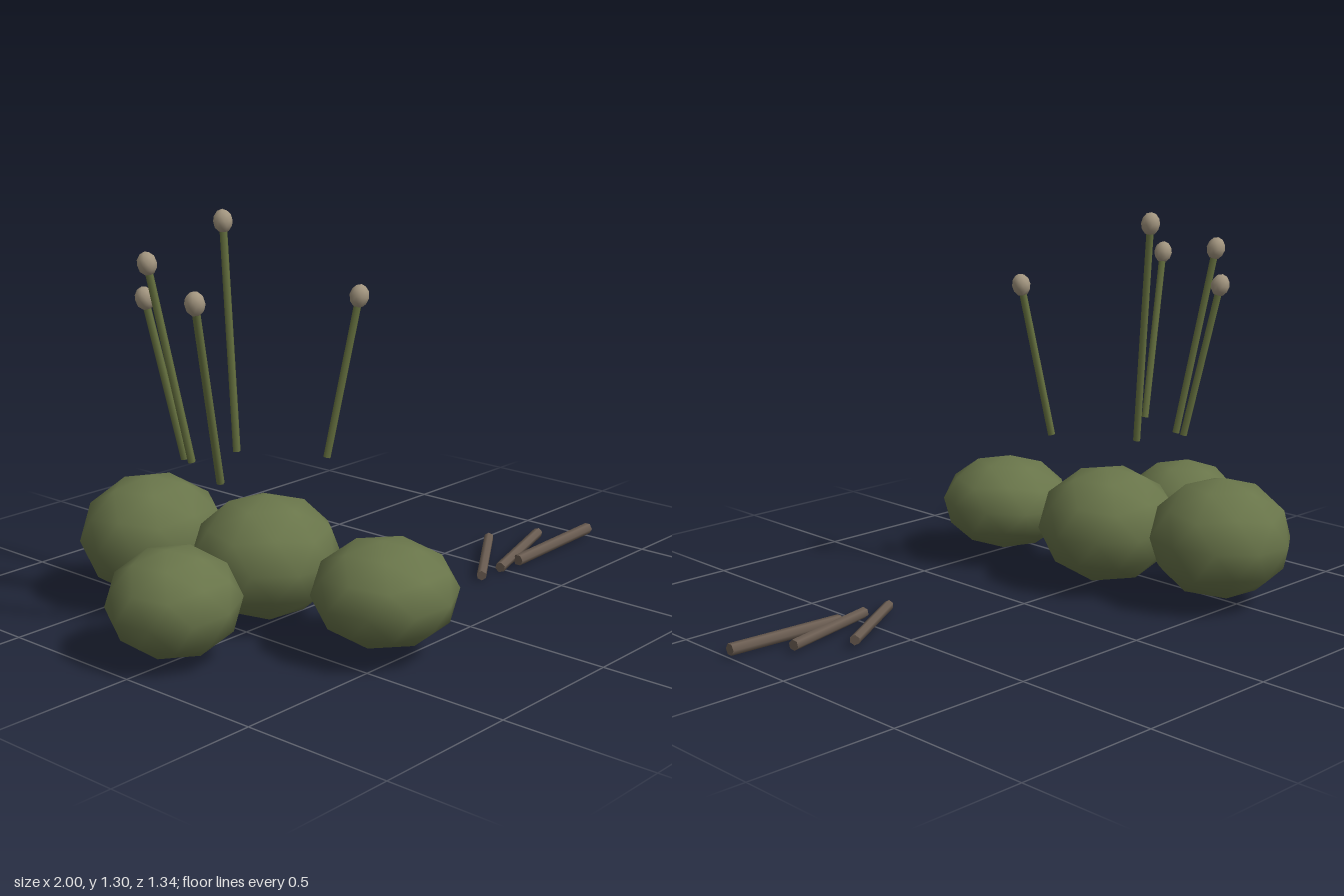
import * as THREE from 'three';

export function createModel() {
  const model = new THREE.Group();
  const mat = (name, color) => {
    const m = new THREE.MeshStandardMaterial({ color });
    m.name = name;
    return m;
  };
  const bushGreen = mat('bushGreen', 0x69754a);
  const stemGreen = mat('stemGreen', 0x65703f);
  const budTan = mat('budTan', 0xa39680);
  const twigBrown = mat('twigBrown', 0x6b5d52);

  const add = (name, geo, material, parent = model) => {
    const mesh = new THREE.Mesh(geo, material);
    mesh.name = name;
    parent.add(mesh);
    return mesh;
  };

  const UP = new THREE.Vector3(0, 1, 0);
  // Rod between two points; returns the mesh
  const rod = (name, a, b, rBottom, rTop, sides, material, parent) => {
    const p = new THREE.Vector3(...a), q = new THREE.Vector3(...b);
    const mesh = add(name, new THREE.CylinderGeometry(rTop, rBottom, p.distanceTo(q), sides), material, parent);
    mesh.position.copy(p).add(q).multiplyScalar(0.5);
    mesh.quaternion.setFromUnitVectors(UP, q.sub(p).normalize());
    return mesh;
  };

  // Coarse ball with a vertex at each pole
  const ball = () => new THREE.IcosahedronGeometry(1, 1).rotateZ(-Math.atan(2 / (1 + Math.sqrt(5))));

  // Squashed bushes: centre, radii, turn, tilt
  [
    [[-0.48, 0.23, -0.44], [0.241, 0.202, 0.238], 0.3, 0.05],
    [[-0.37, 0.22, -0.035], [0.243, 0.2, 0.237], 0.9, -0.05],
    [[-0.795, 0.19, -0.01], [0.21, 0.17, 0.209], 1.4, 0.12],
    [[-0.35, 0.208, 0.442], [0.225, 0.166, 0.23], 0.15, 0.08],
  ].forEach(([c, r, turn, tilt], i) => {
    const geo = ball().rotateY(turn).rotateZ(tilt).scale(...r);
    add('bush' + (i + 1), geo, bushGreen).position.set(...c);
  });

  // Leaning stems, each with a bud on its tip
  [
    [[-0.64, 0.535, 0.04], [-0.768, 1.105, 0.08]],
    [[-0.54, 0.535, -0.188], [-0.63, 1.163, -0.27]],
    [[-0.53, 0.535, -0.23], [-0.602, 1.047, -0.315]],
    [[-0.36, 0.535, -0.17], [-0.345, 1.265, -0.23]],
    [[-0.22, 0.535, 0.09], [-0.14, 1.047, 0.155]],
  ].forEach(([base, tip], i) => {
    const plant = new THREE.Group();
    plant.name = 'stalk' + (i + 1);
    model.add(plant);
    const stem = rod('stem', base, tip, 0.0125, 0.0125, 6, stemGreen, plant);
    const bud = add('bud', ball().scale(0.031, 0.038, 0.031), budTan, plant);
    bud.position.set(...tip);
    bud.quaternion.copy(stem.quaternion);
  });

  // Loose twigs on the ground
  [
    [[0.362, 0.025, 0.268], [0.678, 0.037, 0.06], 0.017],
    [[0.468, 0.026, 0.267], [0.838, 0.036, 0.16], 0.018],
    [[0.572, 0.025, 0.266], [1, 0.036, 0.266], 0.02],
  ].forEach(([a, b, r], i) => rod('twig' + (i + 1), a, b, r, r, 6, twigBrown));

  return model;
}
